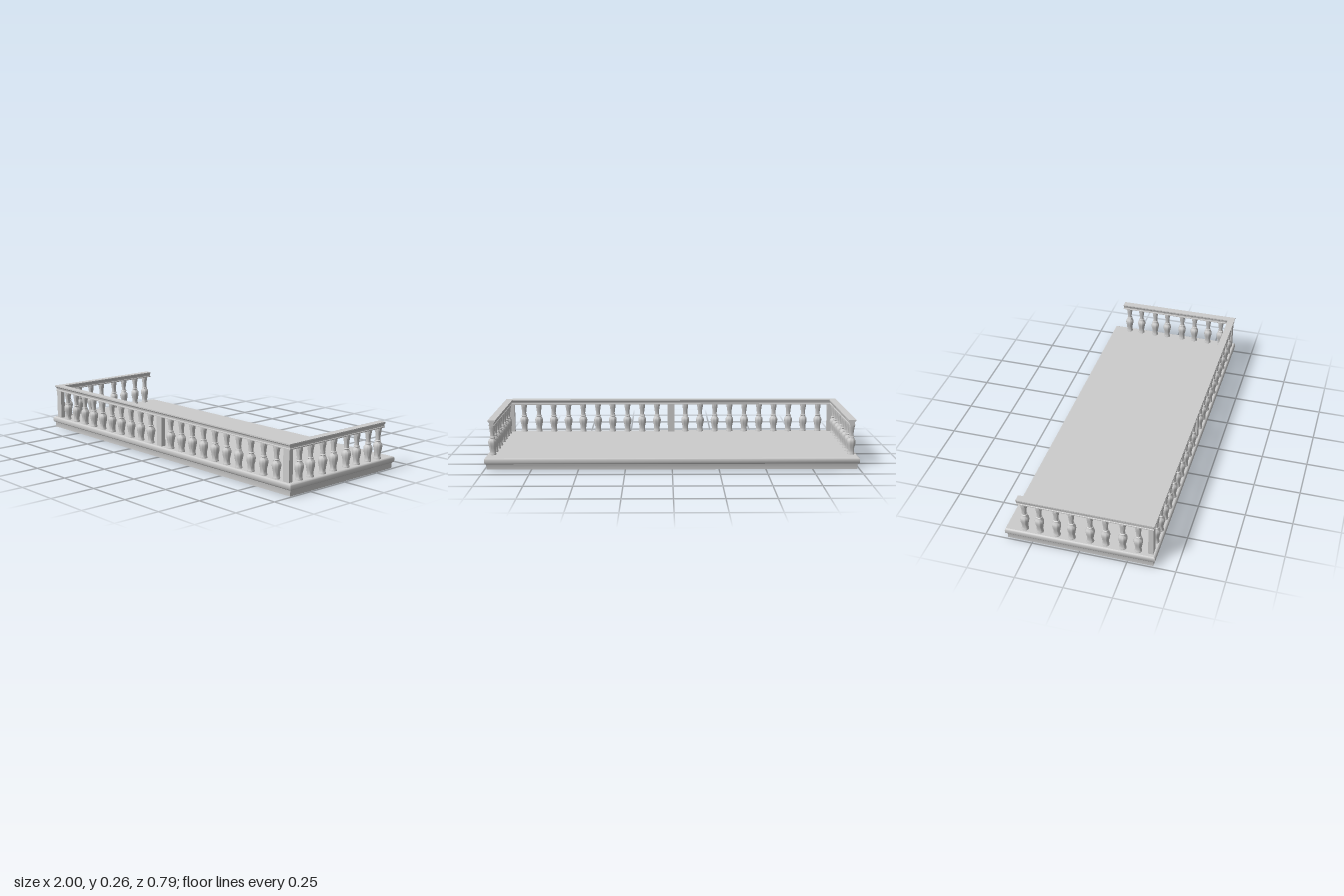
import * as THREE from 'three';
import { toCreasedNormals } from 'three/addons/utils/BufferGeometryUtils.js';

const material = new THREE.MeshStandardMaterial({ color: 0xcccccc });

function add(parent, name, geometry, x = 0, y = 0, z = 0) {
  const mesh = new THREE.Mesh(geometry, material);
  mesh.name = name;
  mesh.position.set(x, y, z);
  parent.add(mesh);
  return mesh;
}

// Sweep a profile of [outward offset, height] along a list of corners.
// Each corner is [x, z, mitre x, mitre z].
function mitredSweep(corners, profile) {
  const pos = [];
  const at = ([x, z, mx, mz], [d, y]) => [x + mx * d, y, z + mz * d];
  for (let i = 0; i < corners.length - 1; i++) {
    for (let j = 0; j < profile.length - 1; j++) {
      const a = at(corners[i], profile[j]), b = at(corners[i + 1], profile[j]);
      const c = at(corners[i + 1], profile[j + 1]), d = at(corners[i], profile[j + 1]);
      pos.push(...a, ...b, ...c, ...a, ...c, ...d);
    }
  }
  const g = new THREE.BufferGeometry();
  g.setAttribute('position', new THREE.Float32BufferAttribute(pos, 3));
  return toCreasedNormals(g, 0.7);
}

export function createModel() {
  const model = new THREE.Group();
  model.name = 'balcony';
  const floorY = 0.063, railY = 0.226;
  const railX = 0.965, railZ = 0.365, railBack = -0.328;

  // Floor slab with a rounded lip over a recessed lower band
  const slab = new THREE.Group();
  slab.name = 'floorSlab';
  model.add(slab);
  const X = 1, Z = 0.393;
  const rectangle = [[-X, -Z, -1, -1], [-X, Z, -1, 1], [X, Z, 1, 1], [X, -Z, 1, -1], [-X, -Z, -1, -1]];
  add(slab, 'slabMoulding', mitredSweep(rectangle, [
    [-0.01, 0], [-0.01, 0.024], [-0.008, 0.03], [-0.003, 0.033], [0, 0.037],
    [0, 0.055], [-0.002, 0.06], [-0.007, floorY]]));
  add(slab, 'floorTop', new THREE.PlaneGeometry(2 * X - 0.014, 2 * Z - 0.014).rotateX(-Math.PI / 2), 0, floorY);
  add(slab, 'floorUnderside', new THREE.PlaneGeometry(2 * X - 0.02, 2 * Z - 0.02).rotateX(Math.PI / 2));

  // U-shaped moulded handrail, open at the back
  const half = [[0.016, railY], [0.016, 0.231], [0.013, 0.233], [0.013, 0.242],
    [0.016, 0.247], [0.02, 0.25], [0.02, 0.257]];
  const railProfile = [...half, ...half.map(([d, y]) => [-d, y]).reverse(), half[0]];
  const railPath = [[-railX, railBack, -1, 0], [-railX, railZ, -1, 1], [railX, railZ, 1, 1], [railX, railBack, 1, 0]];
  const handrail = new THREE.Group();
  handrail.name = 'handrail';
  model.add(handrail);
  add(handrail, 'railMoulding', mitredSweep(railPath, railProfile));
  const endShape = new THREE.Shape(railProfile.slice(0, -1).map(p => new THREE.Vector2(...p)));
  for (const s of [-1, 1])
    add(handrail, 'railEnd', new THREE.ShapeGeometry(endShape).rotateY(Math.PI), s * railX, 0, railBack);

  // Square posts at the front corners and the middle
  for (const x of [-0.955, 0, 0.955])
    add(model, 'post', new THREE.BoxGeometry(0.04, railY - floorY + 0.004, 0.026), x, (floorY + railY) / 2, railZ);

  // Turned baluster
  const turned = [[0.019, 0.062], [0.019, 0.068], [0.0165, 0.072], [0.0165, 0.085], [0.018, 0.1],
    [0.0215, 0.114], [0.0235, 0.127], [0.0235, 0.135], [0.021, 0.144], [0.015, 0.151], [0.0135, 0.155],
    [0.0165, 0.157], [0.0165, 0.161], [0.0125, 0.164], [0.012, 0.176], [0.0135, 0.192],
    [0.0165, 0.21], [0.0175, 0.218], [0.0175, 0.227]].map(p => new THREE.Vector2(...p));
  const balusterGeometry = toCreasedNormals(new THREE.LatheGeometry(turned, 20), 0.7);

  const balusters = new THREE.Group();
  balusters.name = 'balusters';
  model.add(balusters);
  for (const s of [-1, 1]) {
    // Ten along each half of the front
    for (let i = 0; i < 10; i++)
      add(balusters, 'frontBaluster', balusterGeometry, s * (0.085 + i * 0.0883), 0, railZ + 0.001);
    // Eight along each side
    for (const z of [0.3, 0.22, 0.132, 0.052, -0.045, -0.124, -0.214, -0.293])
      add(balusters, 'sideBaluster', balusterGeometry, s * (railX + 0.002), 0, z);
  }
  return model;
}
